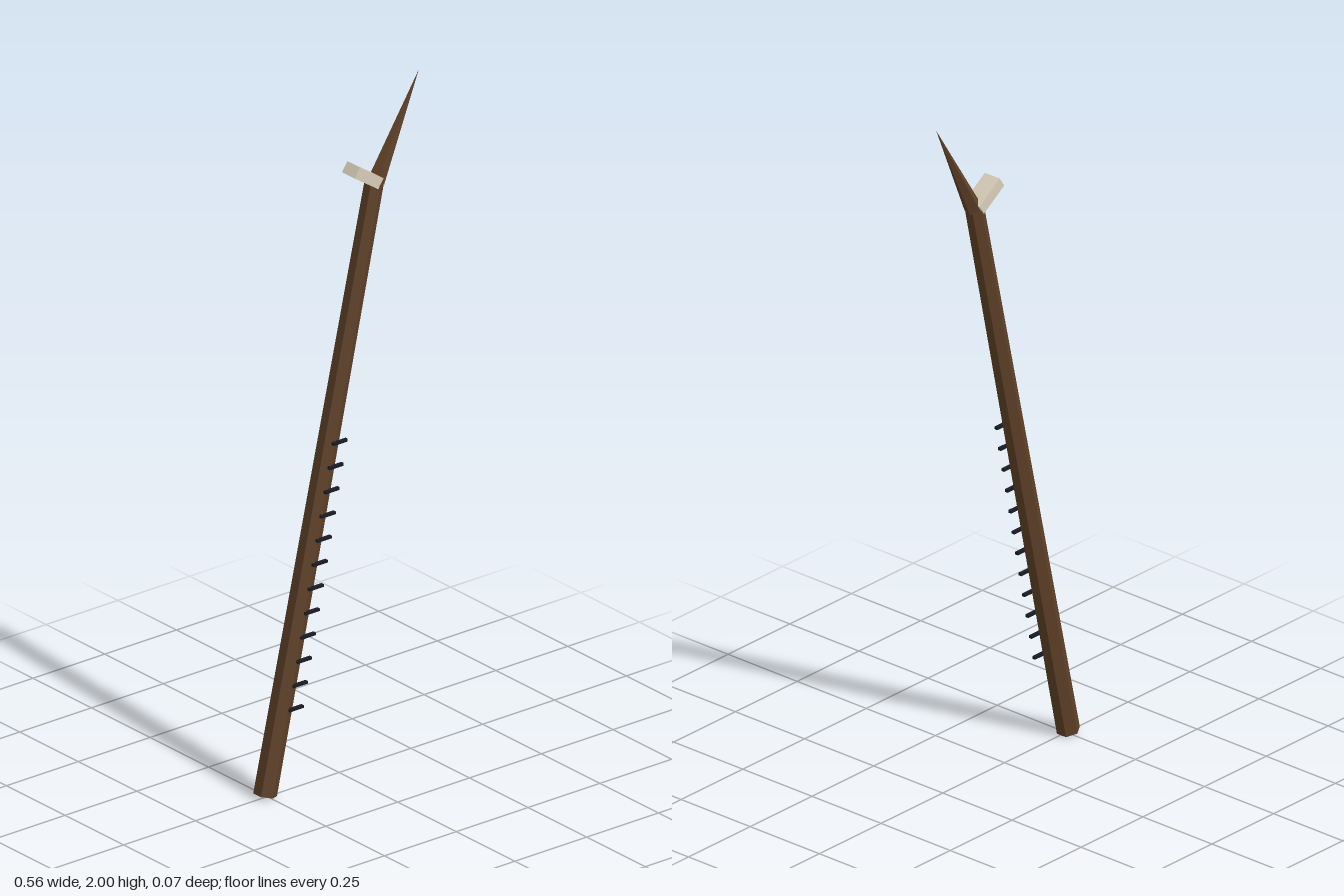
import * as THREE from 'three';

const mat = (color) => new THREE.MeshStandardMaterial({ color, flatShading: true });
const Z = -0.003; // depth of the shaft's axis

// Tapered prism running between two points
function taper(name, from, to, rFrom, rTo, sides, thetaStart, material) {
  const a = new THREE.Vector3(...from), b = new THREE.Vector3(...to);
  const dir = b.clone().sub(a);
  const geo = new THREE.CylinderGeometry(rTo, rFrom, dir.length(), sides, 1, false, thetaStart);
  const mesh = new THREE.Mesh(geo, material);
  mesh.name = name;
  mesh.position.copy(a).add(b).multiplyScalar(0.5);
  mesh.quaternion.setFromUnitVectors(new THREE.Vector3(0, 1, 0), dir.normalize());
  return mesh;
}

function box(name, size, position, material) {
  const mesh = new THREE.Mesh(new THREE.BoxGeometry(...size), material);
  mesh.name = name;
  mesh.position.set(...position);
  return mesh;
}

export function createModel() {
  const model = new THREE.Group();
  model.name = 'spear';
  const wood = mat(0x5f4128), bone = mat(0xd8cdb9), dark = mat(0x1a1a24);

  // Leaning hexagonal shaft
  model.add(taper('shaft', [-0.255, 0.006, Z], [0.125, 1.712, Z], 0.033, 0.027, 6, 0, wood));

  // Five-sided point, bent further forward
  model.add(taper('point', [0.13, 1.712, Z], [0.28, 2, Z], 0.025, 0, 5, Math.PI, wood));

  // Pale block behind the point
  const spur = box('spur', [0.099, 0.033, 0.054], [0.086, 1.742, Z - 0.001], bone);
  spur.rotation.z = -0.59;
  model.add(spur);

  // Row of short level bars up the front of the shaft
  const bars = new THREE.Group();
  bars.name = 'gripBars';
  const count = 12;
  for (let i = 0; i < count; i++) {
    const t = i / (count - 1);
    const x = THREE.MathUtils.lerp(-0.175, -0.022, t);
    const y = THREE.MathUtils.lerp(0.25, 0.995, t);
    bars.add(box('gripBar', [0.049, 0.008, 0.01], [x, y, 0.029], dark));
  }
  model.add(bars);
  return model;
}
